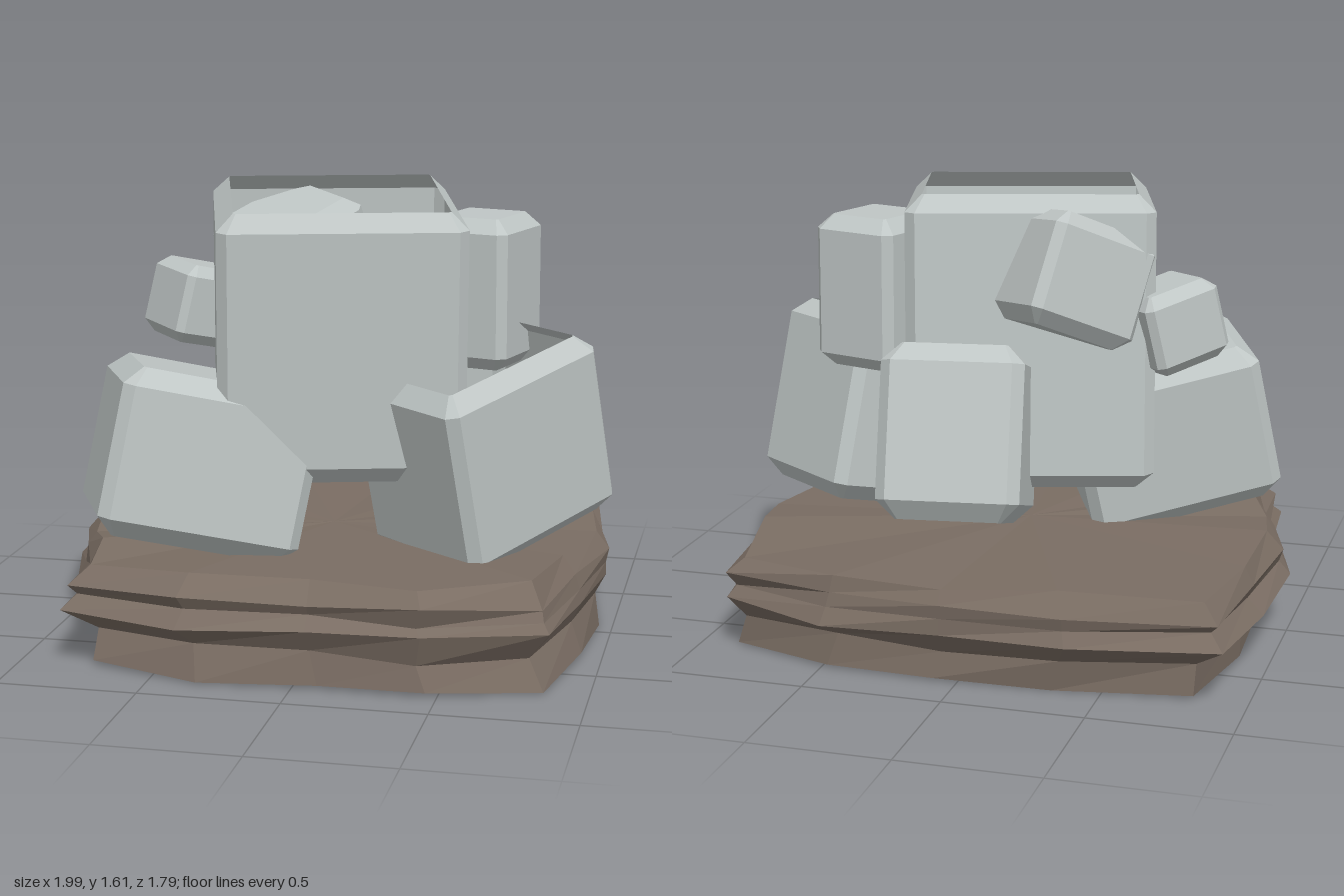
import * as THREE from 'three';

// Joins closed rings of points [x, y, z] from bottom to top, with optional end caps.
function loft(rings, floor = true, lid = true) {
  const pos = [];
  const tri = (a, b, c) => pos.push(...a, ...b, ...c);
  const n = rings[0].length;
  const centre = (ring) => [0, 1, 2].map((k) => ring.reduce((s, p) => s + p[k], 0) / n);
  const first = rings[0], last = rings[rings.length - 1];
  for (let j = 0; j < n; j++) {
    const k = (j + 1) % n;
    for (let i = 0; i + 1 < rings.length; i++) {
      const lo = rings[i], hi = rings[i + 1];
      tri(lo[j], hi[j], lo[k]);
      tri(lo[k], hi[j], hi[k]);
    }
    if (floor) tri(centre(first), first[j], first[k]);
    if (lid) tri(centre(last), last[k], last[j]);
  }
  const g = new THREE.BufferGeometry();
  g.setAttribute('position', new THREE.Float32BufferAttribute(pos, 3));
  g.computeVertexNormals();
  return g;
}

// Rectangle with cut corners at height y, rising by slope towards +z.
function cutRect(w, d, cut, y, slope = 0) {
  const x = w / 2, z = d / 2;
  return [[x, -z + cut], [x, z - cut], [x - cut, z], [-x + cut, z],
    [-x, z - cut], [-x, -z + cut], [-x + cut, -z], [x - cut, -z]].map(([a, b]) => [a, y + b * slope, b]);
}

// Box with bevelled edges; the top may be open, and the floor may have a hole.
function bevelBox([w, h, d], b, floor, lid, slope) {
  const iw = w - 2 * b, id = d - 2 * b, t = b * 0.15;
  const rings = [
    cutRect(iw, id, t, -h / 2, slope),
    cutRect(w, d, b * 0.6, -h / 2 + b, slope),
    cutRect(w, d, b * 0.6, h / 2 - b),
    cutRect(iw, id, t, h / 2),
  ];
  if (!floor) rings.unshift(cutRect(iw - 0.06, id - 0.14, 0.1, -h / 2));
  return loft(rings, floor, lid);
}

export function createModel() {
  const model = new THREE.Group();
  const crystal = new THREE.MeshStandardMaterial({ color: 0xbfc6c5, flatShading: true, side: THREE.DoubleSide });
  crystal.name = 'pale grey crystal';
  const rock = new THREE.MeshStandardMaterial({ color: 0x7a6d63, flatShading: true });
  rock.name = 'brown rock';

  let seed = 11;
  const rand = () => ((seed = (seed * 16807) % 2147483647) / 2147483647) * 2 - 1;

  // Layered rock slab: one rough outline, stepped in and out by height
  const outline = [[-0.94, -0.85], [-0.4, -0.9], [0.05, -0.9], [0.47, -0.9], [0.89, -0.76], [0.96, -0.35],
    [1, -0.1], [0.95, 0.3], [0.87, 0.74], [0.46, 0.89], [0.05, 0.86], [-0.4, 0.9], [-0.84, 0.78],
    [-0.87, 0.5], [-0.94, 0.3], [-1, 0.05], [-0.98, -0.38]];
  // Each layer: height, scale, shift in x, shift in z
  const layers = [[0.012, 0.93, 0.04, 0.03], [0.12, 0.9, 0.01, 0.02], [0.2, 0.99, 0, 0],
    [0.25, 0.95, 0, 0], [0.295, 0.965, 0, -0.01], [0.36, 0.91, 0, -0.02]];
  const slab = layers.map(([y, s, dx, dz], i) => outline.map(([x, z]) => {
    const k = Math.min(1, s + rand() * 0.025);
    return [x * k + dx, y + rand() * (i === 0 ? 0.012 : 0.016), z * k + dz];
  }));
  const base = new THREE.Mesh(loft(slab), rock);
  base.name = 'rockBase';
  model.add(base);

  // Crystal cubes: size, centre, sideways axis, upward axis
  const cubes = [
    { name: 'mainCrystal', size: [0.87, 1.0, 0.88], at: [-0.02, 1.095, 0.035],
      side: [0.96, 0, -0.27], up: [0, 1, 0.06], bevel: 0.06, lid: false, slope: 0.1 },
    { name: 'frontRightCrystal', size: [0.72, 0.6, 0.6], at: [-0.45, 0.67, 0.33],
      side: [0.9, -0.22, -0.38], up: [0.22, 0.95, -0.18] },
    { name: 'frontLeftCrystal', size: [0.56, 0.68, 0.72], at: [0.54, 0.72, 0.1],
      side: [0.78, -0.03, 0.62], up: [-0.1, 0.97, 0.22], bevel: 0.06, floor: false, lid: false },
    { name: 'backCrystal', size: [0.5, 0.61, 0.46], at: [0.1, 0.785, -0.465],
      side: [0.98, 0, -0.14], up: [0, 0.95, 0.3] },
    { name: 'upperLeftCrystal', size: [0.33, 0.55, 0.35], at: [0.485, 1.23, -0.18],
      side: [0.95, 0, 0.28], up: [-0.03, 1, 0], bevel: 0.05 },
    { name: 'upperBackCrystal', size: [0.43, 0.4, 0.44], at: [-0.23, 1.32, -0.26],
      side: [0.65, 0.38, -0.63], up: [-0.18, 0.88, 0.33], bevel: 0.05 },
    { name: 'smallRightCrystal', size: [0.3, 0.29, 0.29], at: [-0.57, 1.15, -0.12],
      side: [0.67, -0.22, -0.67], up: [0.22, 0.94, -0.14], bevel: 0.04 },
  ];
  for (const { name, size, at, side, up, bevel = 0.065, floor = true, lid = true, slope = 0 } of cubes) {
    const mesh = new THREE.Mesh(bevelBox(size, bevel, floor, lid, slope), crystal);
    mesh.name = name;
    const x = new THREE.Vector3(...side).normalize();
    const z = x.clone().cross(new THREE.Vector3(...up)).normalize();
    const y = z.clone().cross(x);
    mesh.quaternion.setFromRotationMatrix(new THREE.Matrix4().makeBasis(x, y, z));
    mesh.position.set(...at);
    model.add(mesh);
  }
  return model;
}
